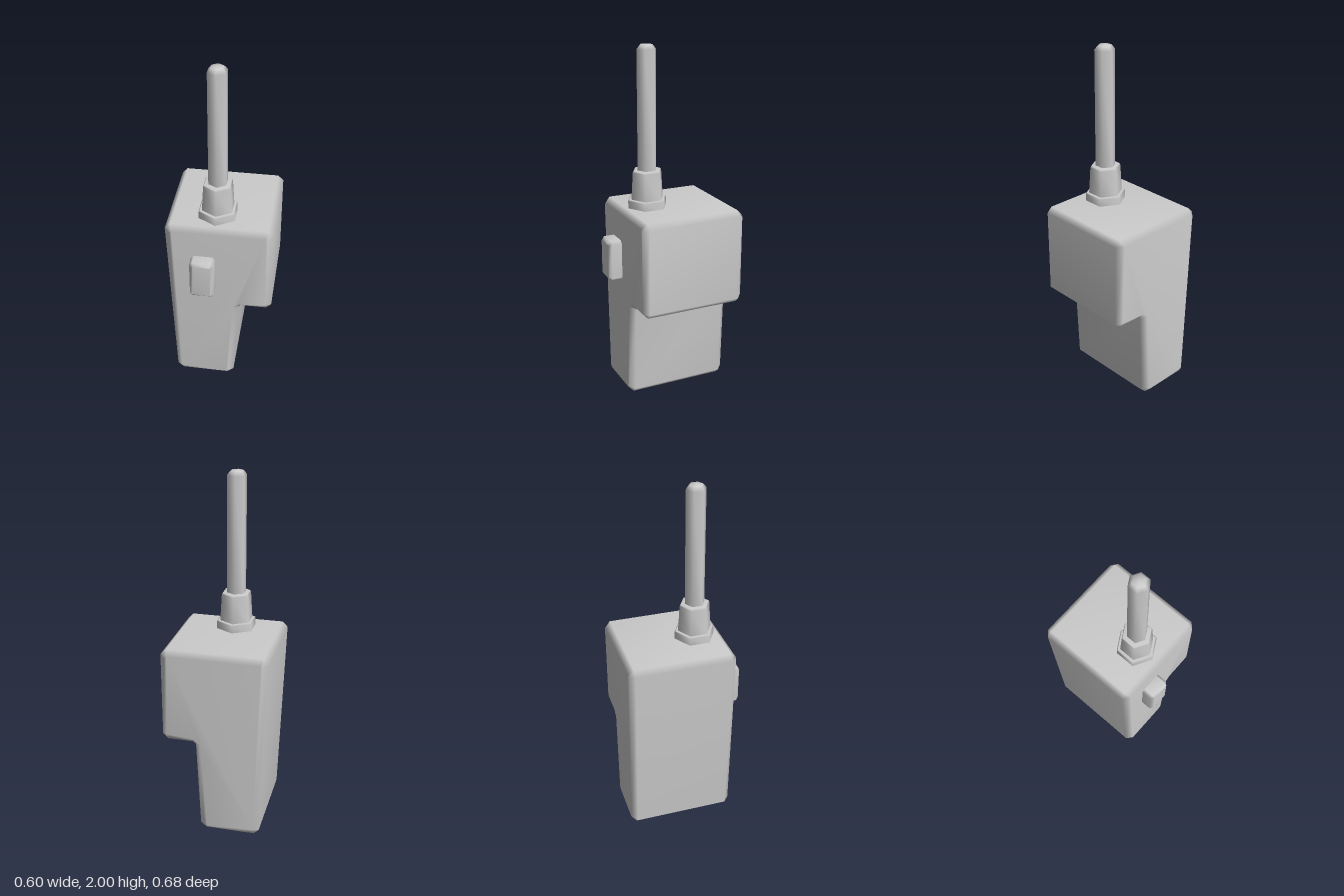
import * as THREE from 'three';
import { mergeVertices } from 'three/addons/utils/BufferGeometryUtils.js';

const material = new THREE.MeshStandardMaterial({ color: 0xcccccc });

// Share vertices so area-weighted normals roll softly over the chamfers
function soften(geometry) {
  geometry.deleteAttribute('uv');
  geometry.deleteAttribute('normal');
  const merged = mergeVertices(geometry, 1e-4);
  merged.computeVertexNormals();
  return merged;
}

function part(name, geometry) {
  const mesh = new THREE.Mesh(soften(geometry), material);
  mesh.name = name;
  return mesh;
}

// Outline with each corner [x, y, cut] cut off by a straight chamfer
function chamferedShape(corners) {
  const points = [];
  corners.forEach(([x, y, cut], i) => {
    const p = new THREE.Vector2(x, y);
    for (const j of [i - 1, i + 1]) {
      const [nx, ny] = corners[(j + corners.length) % corners.length];
      const dir = new THREE.Vector2(nx, ny).sub(p).normalize();
      points.push(p.clone().addScaledVector(dir, cut));
    }
  });
  return new THREE.Shape(points);
}

// Chamfered block between two z planes, bevelled inward from its outline
function block(corners, zBack, zFront, bevel) {
  const geometry = new THREE.ExtrudeGeometry(chamferedShape(corners), {
    depth: zFront - zBack - 2 * bevel,
    bevelThickness: bevel,
    bevelSize: bevel,
    bevelOffset: -bevel,
    bevelSegments: 1,
  });
  return geometry.translate(0, 0, zBack + bevel);
}

// Six-sided turned part from [radius, y] pairs, bottom to top
function hexTurned(profile) {
  return new THREE.LatheGeometry(profile.map(([r, y]) => new THREE.Vector2(r, y)), 6);
}

export function createModel() {
  const model = new THREE.Group();
  model.name = 'handheldRadio';

  // Body: wide head stepping in to a tapered grip
  model.add(part('body', block([
    [-0.257, 0, 0.03], [0.083, 0, 0.03], [0.108, 0.56, 0.015],
    [0.298, 0.56, 0.03], [0.298, 1.105, 0.03], [-0.3, 1.105, 0.03],
  ], -0.34, 0.265, 0.03)));

  // Raised button on the front
  model.add(part('button', block([
    [-0.153, 0.685, 0.016], [-0.018, 0.685, 0.016],
    [-0.018, 0.92, 0.016], [-0.153, 0.92, 0.016],
  ], 0.22, 0.34, 0.016)));

  // Antenna: collar, tapered boot and rod with a blunt tip
  const antenna = new THREE.Group();
  antenna.name = 'antenna';
  antenna.position.set(-0.024, 0, 0.105);
  antenna.add(
    part('antennaCollar', hexTurned([[0.115, 1.09], [0.115, 1.148], [0.108, 1.152], [0, 1.152]])),
    part('antennaBoot', hexTurned([[0.096, 1.14], [0.086, 1.305], [0.08, 1.315], [0, 1.315]])),
    part('antennaRod', hexTurned([[0.056, 1.3], [0.056, 1.972], [0.036, 1.995], [0, 2]])),
  );
  model.add(antenna);

  return model;
}
